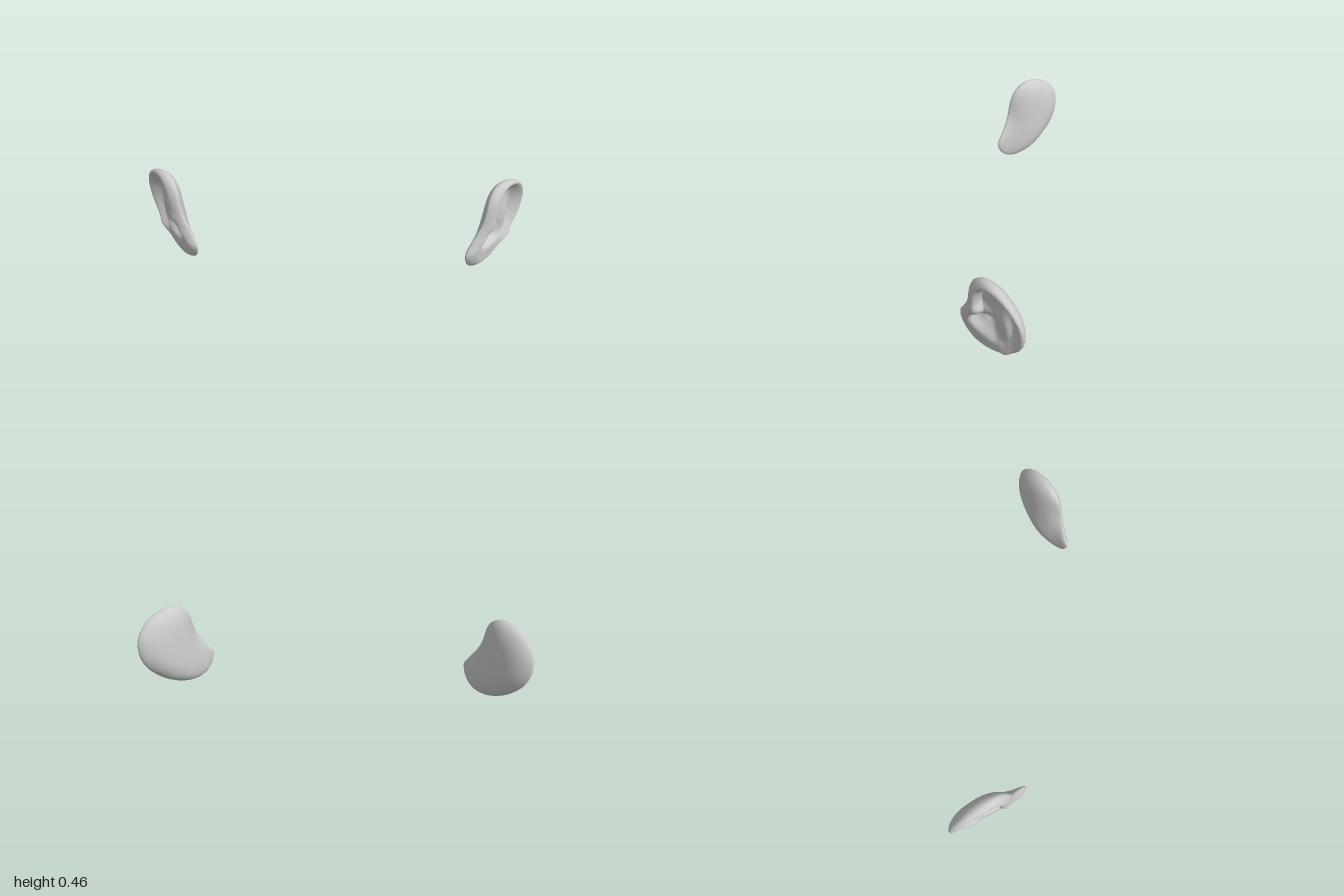
import * as THREE from 'three';

// Side outline of an ear as [z, y], running from the top towards the rear.
const OUTLINE = [
  [-0.023, 0.457], [-0.084, 0.432], [-0.127, 0.389], [-0.155, 0.338], [-0.166, 0.271],
  [-0.161, 0.213], [-0.139, 0.152], [-0.104, 0.1], [-0.07, 0.061], [-0.03, 0.029],
  [0.005, 0.011], [0.04, 0.002], [0.073, 0], [0.109, 0.011], [0.134, 0.032],
  [0.154, 0.063], [0.164, 0.093], [0.166, 0.109], [0.15, 0.15], [0.127, 0.213],
  [0.114, 0.263], [0.107, 0.316], [0.096, 0.37], [0.073, 0.418], [0.029, 0.454],
];

// Soft hills and hollows of the outer face: z, y, radius z, radius y, height.
const RELIEF = [
  [-0.062, 0.2, 0.036, 0.11, 0.03],    // inner ridge
  [-0.01, 0.1, 0.06, 0.025, 0.014],    // lower end of the ridge
  [0.045, 0.153, 0.062, 0.042, -0.03], // bowl
  [-0.005, 0.18, 0.032, 0.026, -0.02], // ear canal
  [0.06, 0.24, 0.06, 0.036, 0.016],    // fold above the bowl
  [0.122, 0.17, 0.024, 0.03, 0.008],   // flap in front of the bowl
];

const CENTRE = [-0.01, 0.22];
const RINGS = 30;
const SEGMENTS = 84;
const { smoothstep, lerp } = THREE.MathUtils;

// Depth of the inner (head) side.
function backDepth(z, t) {
  const depth = 0.075 - 0.045 * smoothstep(z, -0.06, 0.13);
  return -depth * Math.sqrt(Math.max(0, 1 - t ** 5));
}

// Height of the outer side; e is the distance from the outline.
function frontHeight(z, y, e, t) {
  const k = Math.min(1, e / 0.028);
  const round = Math.sqrt(1 - (1 - k) ** 2);
  const dish = smoothstep(y - 0.5 * z, 0.04, 0.2); // fades out into the lobe
  const rimEnd = lerp(0.058, 0.11, smoothstep(z, -0.02, 0.08)); // gentler slope at the front
  let h = 0.038 - 0.056 * dish * smoothstep(e, 0.022, rimEnd);
  for (const [bz, by, rz, ry, height] of RELIEF) {
    h += height * Math.exp(-(Math.hypot((z - bz) / rz, (y - by) / ry) ** 3));
  }
  return Math.max(h * round, backDepth(z, t) + 0.012 * round);
}

// Middle plane of the ear: slanted, leaning out and bent out at the upper front edge.
function planeX(z, y) {
  const bend = 0.02 * Math.exp(-(((z - 0.11) / 0.06) ** 2) - ((y - 0.3) / 0.12) ** 2);
  return 0.85 - 0.8 * z + 0.11 * (y - 0.23) + bend;
}

// Closed skin: rings from the middle of the outer face, over the edge, to the middle of the back.
function earGeometry(side) {
  const curve = new THREE.CatmullRomCurve3(
    OUTLINE.map(([z, y]) => new THREE.Vector3(0, y, z)), true);
  const edge = curve.getSpacedPoints(SEGMENTS).slice(0, SEGMENTS);
  const positions = [];
  const index = [];

  const addPoint = (p, t, front) => {
    const dz = p.z - CENTRE[0];
    const dy = p.y - CENTRE[1];
    const z = CENTRE[0] + dz * t;
    const y = CENTRE[1] + dy * t;
    const e = (1 - t) * Math.hypot(dz, dy);
    const h = front ? frontHeight(z, y, e, t) : backDepth(z, t);
    positions.push(side * (planeX(z, y) + h), y, z);
  };
  const addFace = (a, b, c) => (side > 0 ? index.push(a, b, c) : index.push(a, c, b));

  addPoint(edge[0], 0, true);
  for (let k = 1; k < 2 * RINGS; k++) {
    const t = k === RINGS ? 1 : Math.sin((Math.PI * k) / (2 * RINGS));
    for (const p of edge) addPoint(p, t, k <= RINGS);
  }
  addPoint(edge[0], 0, false);

  const at = (k, j) => 1 + (k - 1) * SEGMENTS + (j % SEGMENTS);
  const last = positions.length / 3 - 1;
  for (let j = 0; j < SEGMENTS; j++) {
    addFace(0, at(1, j + 1), at(1, j));
    for (let k = 1; k < 2 * RINGS - 1; k++) {
      addFace(at(k, j), at(k, j + 1), at(k + 1, j + 1));
      addFace(at(k, j), at(k + 1, j + 1), at(k + 1, j));
    }
    addFace(at(2 * RINGS - 1, j), at(2 * RINGS - 1, j + 1), last);
  }

  const geometry = new THREE.BufferGeometry();
  geometry.setAttribute('position', new THREE.Float32BufferAttribute(positions, 3));
  geometry.setIndex(index);
  geometry.computeVertexNormals();
  return geometry;
}

export function createModel() {
  const model = new THREE.Group();
  model.name = 'ears';
  const material = new THREE.MeshStandardMaterial({ color: 0xcccccc });
  for (const [name, side] of [['leftEar', 1], ['rightEar', -1]]) {
    const ear = new THREE.Mesh(earGeometry(side), material);
    ear.name = name;
    model.add(ear);
  }
  return model;
}
